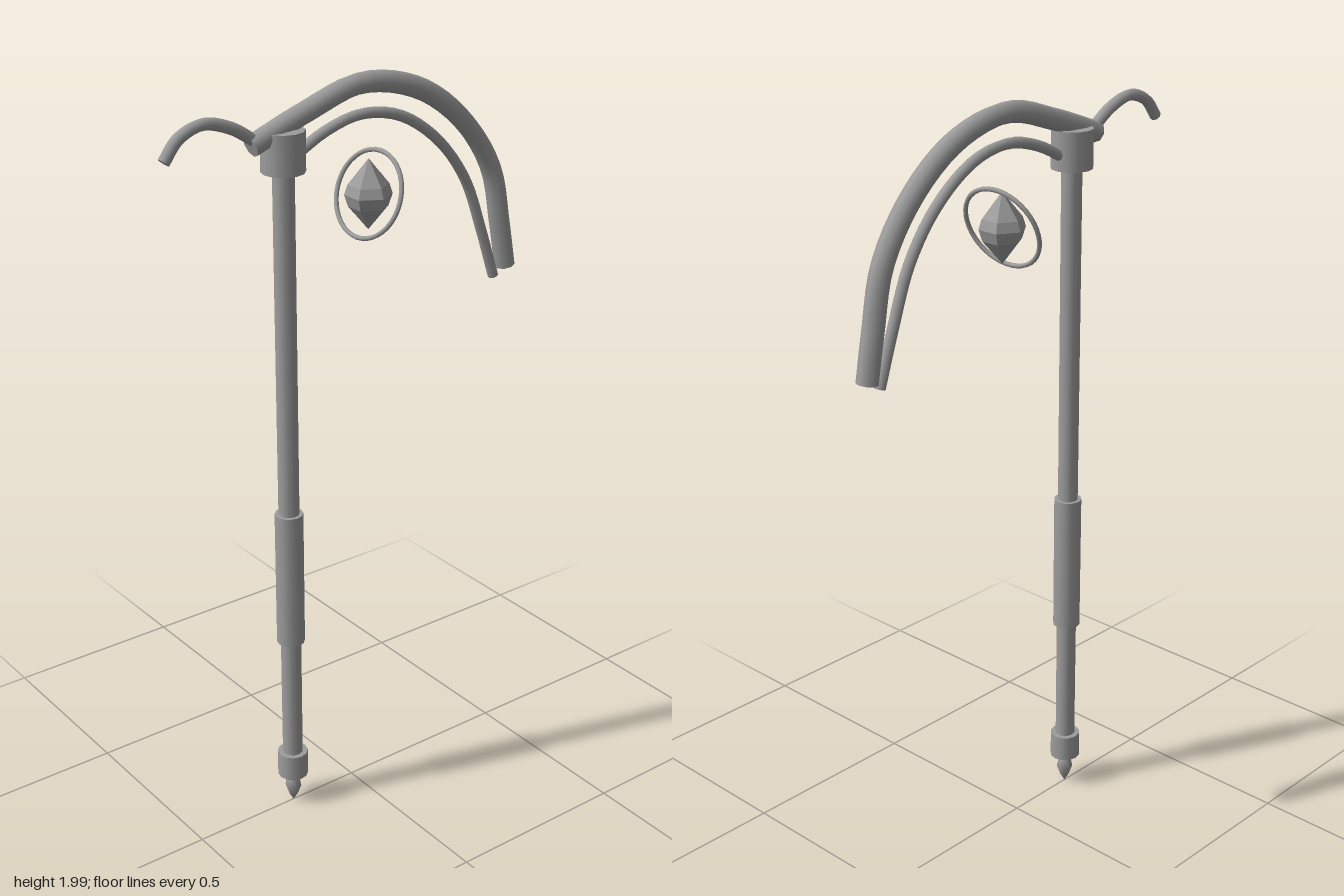
import * as THREE from 'three';

export function createModel() {
  const model = new THREE.Group();
  const metal = new THREE.MeshStandardMaterial({ color: 0x9c9c9c });
  metal.name = 'grey metal';

  const SHAFT_Z = 0.2;

  function add(name, geometry, parent = model) {
    const mesh = new THREE.Mesh(geometry, metal);
    mesh.name = name;
    parent.add(mesh);
    return mesh;
  }

  // Upright cylinder on the shaft axis, from y0 to y1
  function post(name, radius, y0, y1, sides = 12) {
    const mesh = add(name, new THREE.CylinderGeometry(radius, radius, y1 - y0, sides));
    mesh.position.set(0, (y0 + y1) / 2, SHAFT_Z);
  }

  // Round bar along [z, y] points in the middle plane, closed at both ends
  function bar(name, radius, points, sides = 8) {
    const curve = new THREE.CatmullRomCurve3(points.map(([z, y]) => new THREE.Vector3(0, y, z)));
    const group = new THREE.Group();
    group.name = name;
    model.add(group);
    add(name + 'Tube', new THREE.TubeGeometry(curve, 32, radius, sides), group);
    for (const [t, sign] of [[0, -1], [1, 1]]) {
      const cap = add(name + 'Cap', new THREE.CircleGeometry(radius, sides), group);
      const end = curve.getPointAt(t);
      cap.position.copy(end);
      cap.lookAt(end.clone().addScaledVector(curve.getTangentAt(t), sign));
    }
  }

  // Shaft, grip and collars
  post('shaft', 0.027, 0.14, 1.85);
  post('grip', 0.037, 0.52, 0.897);
  post('footCollar', 0.041, 0.1, 0.172);
  post('headCollar', 0.054, 1.797, 1.897);

  // Pointed foot
  const footProfile = [[0, 0.01], [0.012, 0.03], [0.022, 0.058], [0.018, 0.08], [0.009, 0.105]];
  const foot = add('footSpike', new THREE.LatheGeometry(
    footProfile.map(([r, y]) => new THREE.Vector2(r, y)), 8));
  foot.position.z = SHAFT_Z;

  // Curved head: main arc, inner arc and front hook
  bar('mainArc', 0.027, [
    [0.29, 1.872], [0.13, 1.93], [-0.03, 1.972], [-0.204, 1.934],
    [-0.347, 1.832], [-0.447, 1.69], [-0.483, 1.54], [-0.507, 1.416],
  ]);
  bar('innerArc', 0.014, [
    [0.18, 1.822], [0.077, 1.873], [-0.03, 1.897], [-0.15, 1.874],
    [-0.272, 1.791], [-0.362, 1.675], [-0.42, 1.532], [-0.468, 1.394],
  ]);
  bar('frontHook', 0.015, [
    [0.27, 1.878], [0.345, 1.925], [0.42, 1.945], [0.485, 1.922], [0.525, 1.875],
  ]);

  // Floating six-sided crystal with a tilted ring
  const charm = new THREE.Group();
  charm.name = 'charm';
  charm.position.set(0, 1.695, -0.052);
  model.add(charm);
  const gemProfile = [[0, -0.09], [0.05, -0.03], [0.06, 0], [0.052, 0.025], [0, 0.09]];
  const gem = new THREE.LatheGeometry(
    gemProfile.map(([r, y]) => new THREE.Vector2(r, y)), 6, Math.PI / 6).toNonIndexed();
  gem.computeVertexNormals();
  add('crystal', gem, charm);
  const ring = add('crystalRing', new THREE.TorusGeometry(0.109, 0.006, 8, 40), charm);
  ring.rotation.set(-0.35, 0.1, 0, 'YXZ');

  return model;
}
